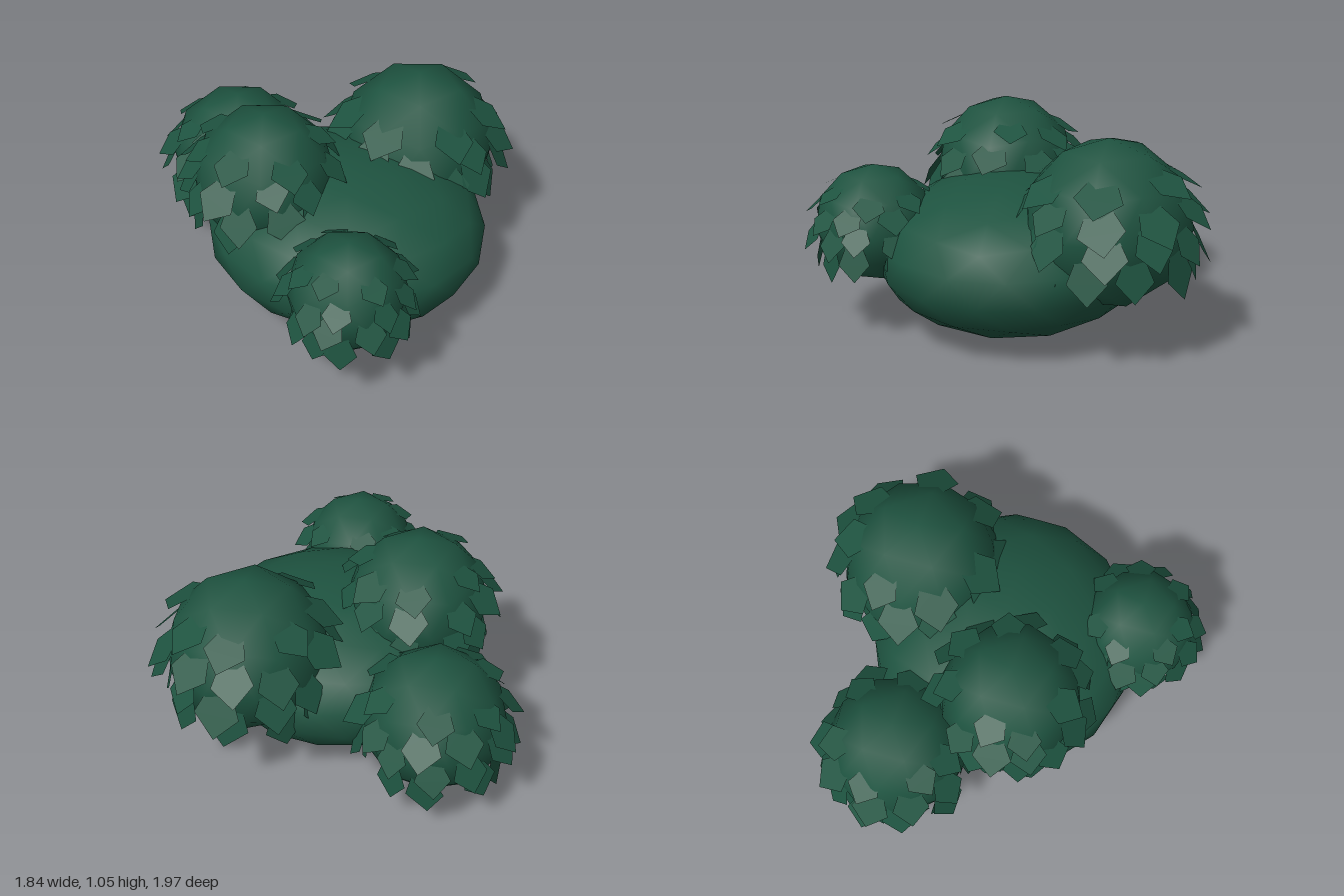
import * as THREE from 'three';

const foliage = new THREE.MeshStandardMaterial({ color: 0x1e5340, side: THREE.DoubleSide });
foliage.name = 'foliage green';

// Small repeatable random generator
function seeded(seed) {
  let s = seed;
  return () => (s = (s * 16807) % 2147483647) / 2147483647;
}

// Low-poly ball with smooth shading and a corner at its top
function ball(name, radius, detail) {
  const geometry = new THREE.IcosahedronGeometry(radius, detail);
  geometry.rotateZ(-Math.atan(2 / (1 + Math.sqrt(5))));
  const mesh = new THREE.Mesh(geometry, foliage);
  mesh.name = name;
  return mesh;
}

// Flat five-sided leaf outline: x across, y along the leaf
const outline = [[-0.12, 0], [-0.25, 0.3], [0, 0.56], [0.25, 0.3], [0.12, 0]];

// Drooping pointed leaves in staggered rows, roots sunk into the ball
function leafCoat(radius, seed) {
  const rand = seeded(seed);
  const positions = [];
  const rows = [
    { lat: 50, count: 7, flare: 0.16 }, { lat: 28, count: 10, flare: 0.3 },
    { lat: 7, count: 11, flare: 0.38 }, { lat: -14, count: 10, flare: 0.4 },
  ];
  rows.forEach(({ lat, count, flare }, row) => {
    for (let i = 0; i < count; i++) {
      const turn = ((i + (row % 2) * 0.5 + (rand() - 0.5) * 0.5) / count) * Math.PI * 2;
      const elevation = THREE.MathUtils.degToRad(lat + (rand() - 0.5) * 14);
      const out = new THREE.Vector3(
        Math.cos(elevation) * Math.sin(turn), Math.sin(elevation), Math.cos(elevation) * Math.cos(turn));
      const side = new THREE.Vector3(Math.cos(turn), 0, -Math.sin(turn));
      const down = side.clone().cross(out).normalize();
      // Slight twist, then tilt the leaf away from the ball
      const twist = (rand() - 0.5) * 0.5;
      side.applyAxisAngle(out, twist);
      down.applyAxisAngle(out, twist);
      const along = down.multiplyScalar(Math.cos(flare)).addScaledVector(out, Math.sin(flare));
      const size = radius * (0.92 + rand() * 0.2);
      const corners = outline.map(([x, y]) => out.clone().multiplyScalar(radius * 0.92)
        .addScaledVector(side, x * size).addScaledVector(along, y * size));
      [[0, 1, 4], [1, 3, 4], [1, 2, 3]].flat()
        .forEach((k) => positions.push(...corners[k].toArray()));
    }
  });
  const geometry = new THREE.BufferGeometry();
  geometry.setAttribute('position', new THREE.Float32BufferAttribute(positions, 3));
  geometry.computeVertexNormals();
  const mesh = new THREE.Mesh(geometry, foliage);
  mesh.name = 'leaves';
  return mesh;
}

export function createModel() {
  const model = new THREE.Group();
  model.name = 'bush';

  // Broad flattened central mass
  const core = ball('centralMass', 1, 2);
  core.scale.set(0.7, 0.38, 0.67);
  core.position.set(0.22, 0.38, 0.01);
  model.add(core);

  // Leafy clumps around the central mass
  const clumps = [
    { name: 'backLeftClump', at: [0.43, 0.62, -0.49], radius: 0.4 },
    { name: 'backRightClump', at: [-0.49, 0.43, -0.34], radius: 0.35 },
    { name: 'topClump', at: [-0.16, 0.7, 0.15], radius: 0.35 },
    { name: 'frontLeftClump', at: [0.43, 0.535, 0.65], radius: 0.285 },
  ];
  clumps.forEach(({ name, at, radius }, i) => {
    const clump = new THREE.Group();
    clump.name = name;
    clump.position.set(...at);
    clump.add(ball('clumpBall', radius, 1), leafCoat(radius, 1234 + i * 777));
    model.add(clump);
  });
  return model;
}
